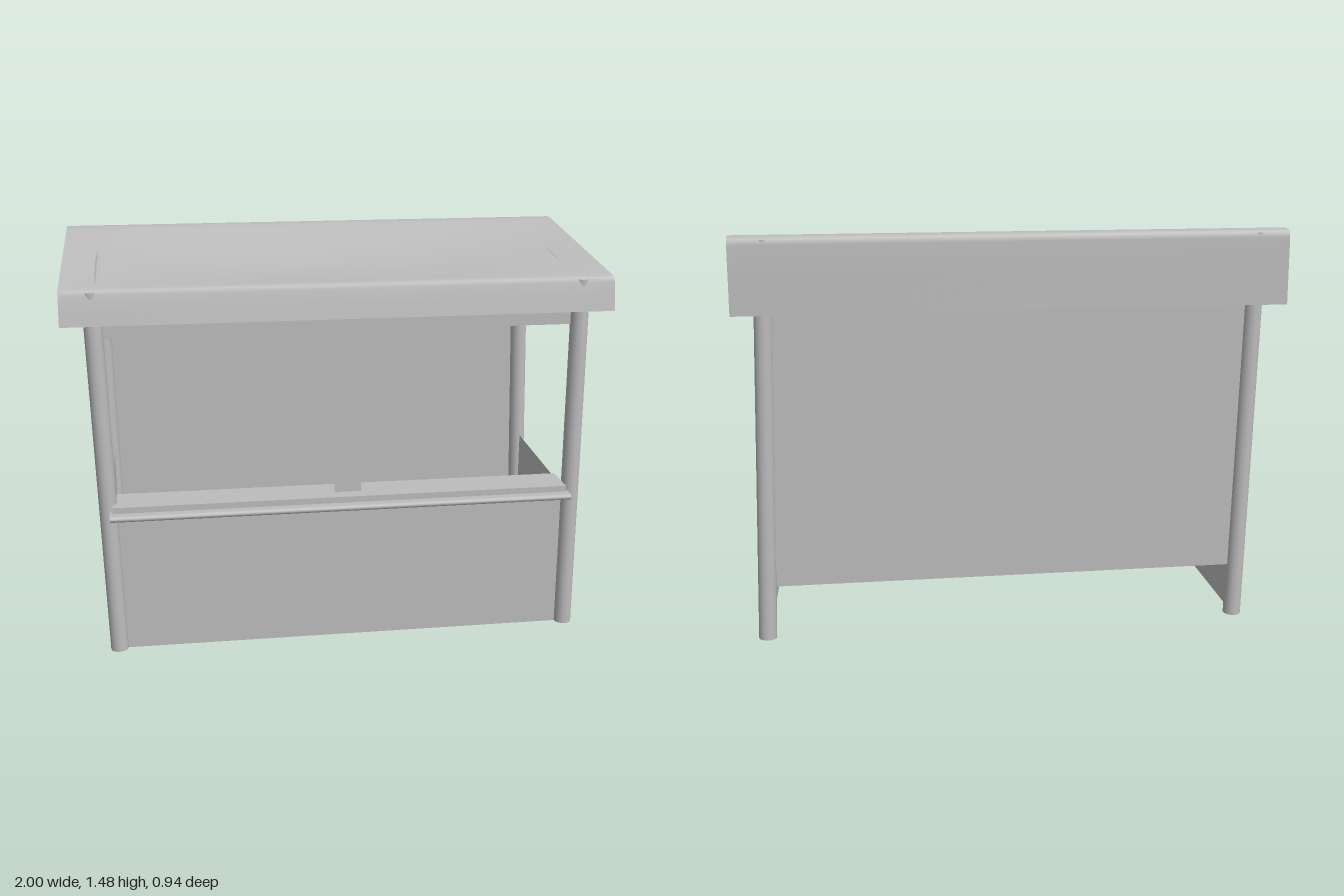
import * as THREE from 'three';

const grey = new THREE.MeshStandardMaterial({ color: 0xbcbcbc, side: THREE.DoubleSide });
grey.name = 'plainGrey';

export function createModel() {
  const root = new THREE.Group();
  root.name = 'marketStall';

  const add = (name, geometry) => {
    const mesh = new THREE.Mesh(geometry, grey);
    mesh.name = name;
    root.add(mesh);
    return mesh;
  };

  // Box given by its lower and upper limits
  const box = (name, [x0, x1], [y0, y1], [z0, z1]) => {
    const mesh = add(name, new THREE.BoxGeometry(x1 - x0, y1 - y0, z1 - z0));
    mesh.position.set((x0 + x1) / 2, (y0 + y1) / 2, (z0 + z1) / 2);
  };

  // Round bar between two points
  const bar = (name, a, b, radius, sides = 16) => {
    const start = new THREE.Vector3(...a);
    const span = new THREE.Vector3(...b).sub(start);
    const mesh = add(name, new THREE.CylinderGeometry(radius, radius, span.length(), sides));
    mesh.position.copy(start).addScaledVector(span, 0.5);
    mesh.quaternion.setFromUnitVectors(new THREE.Vector3(0, 1, 0), span.normalize());
  };

  // Upright flat panel between two floor points
  const panel = (name, [x0, z0], [x1, z1], y0, y1) => {
    const mesh = add(name, new THREE.PlaneGeometry(Math.hypot(x1 - x0, z1 - z0), y1 - y0));
    mesh.position.set((x0 + x1) / 2, (y0 + y1) / 2, (z0 + z1) / 2);
    mesh.rotation.y = -Math.atan2(z1 - z0, x1 - x0);
  };

  // Slightly leaning corner posts: name, foot x, top x, z, height
  const posts = [
    ['frontRightPost', -0.85, -0.89, 0.374, 1.37],
    ['frontLeftPost', 0.883, 0.883, 0.374, 1.37],
    ['backRightPost', -0.855, -0.89, -0.428, 1.472],
    ['backLeftPost', 0.92, 0.88, -0.428, 1.472],
  ];
  for (const [name, foot, top, z, height] of posts) {
    bar(name, [foot, 0, z], [top, height, z], 0.033);
  }

  // Lower walls and raised back wall
  panel('frontPanel', [-0.85, 0.374], [0.88, 0.374], 0, 0.53);
  panel('rightSidePanel', [-0.855, -0.428], [-0.855, 0.374], 0, 0.525);
  panel('leftSidePanel', [0.883, 0.374], [0.912, -0.428], 0, 0.525);
  panel('backPanel', [0.88, -0.435], [-0.86, -0.435], 0.2, 1.42);

  // T-shaped front header with its centre strut
  const frame = new THREE.Shape([
    [-0.88, 1.36], [-0.88, 1.2], [-0.03, 1.2], [-0.03, 0.56],
    [0.07, 0.56], [0.07, 1.2], [0.88, 1.2], [0.88, 1.36],
  ].map(([x, y]) => new THREE.Vector2(x, y)));
  add('frontHeaderAndStrut', new THREE.ShapeGeometry(frame)).position.z = 0.374;

  // Counter top with a rounded front rail
  box('counterTop', [-0.85, 0.85], [0.53, 0.585], [0.283, 0.43]);
  box('counterRail', [-0.86, 0.86], [0.54, 0.562], [0.41, 0.457]);
  bar('counterRailNose', [-0.86, 0.551, 0.457], [0.86, 0.551, 0.457], 0.011, 12);

  // Rails below the roof, resting on the posts
  for (const side of [-1, 1]) {
    const radius = side < 0 ? 0.011 : 0.008;
    bar('roofSideRail', [side * 0.87, 1.371, 0.36], [side * 0.87, 1.461, -0.41], radius, 8);
  }
  bar('roofFrontRail', [-0.89, 1.362, 0.374], [0.883, 1.362, 0.374], 0.01, 8);

  // Sagging cloth roof: profile (z, y) from back hem to front hem
  const profile = [[-0.468, 1.21], [-0.465, 1.35], [-0.463, 1.455], [-0.458, 1.474], [-0.44, 1.482], [-0.39, 1.482]];
  const slopeSteps = 20;
  for (let i = 1; i <= slopeSteps; i++) {
    const t = i / slopeSteps;
    profile.push([-0.39 + 0.77 * t, 1.482 - 0.102 * t]);
  }
  profile.push([0.398, 1.375], [0.404, 1.36], [0.413, 1.31], [0.423, 1.255]);

  const columns = 32;
  const cloth = new THREE.PlaneGeometry(2, 1, columns, profile.length - 1);
  const pos = cloth.attributes.position;
  for (let i = 0; i < pos.count; i++) {
    const [z, y] = profile[Math.floor(i / (columns + 1))];
    const x = pos.getX(i);
    const t = THREE.MathUtils.clamp((z + 0.39) / 0.77, 0, 1);
    pos.setXYZ(i, x, y - 0.043 * Math.sin(Math.PI * t) * (1 - x * x), z);
  }
  cloth.computeVertexNormals();
  add('clothRoof', cloth);

  return root;
}
